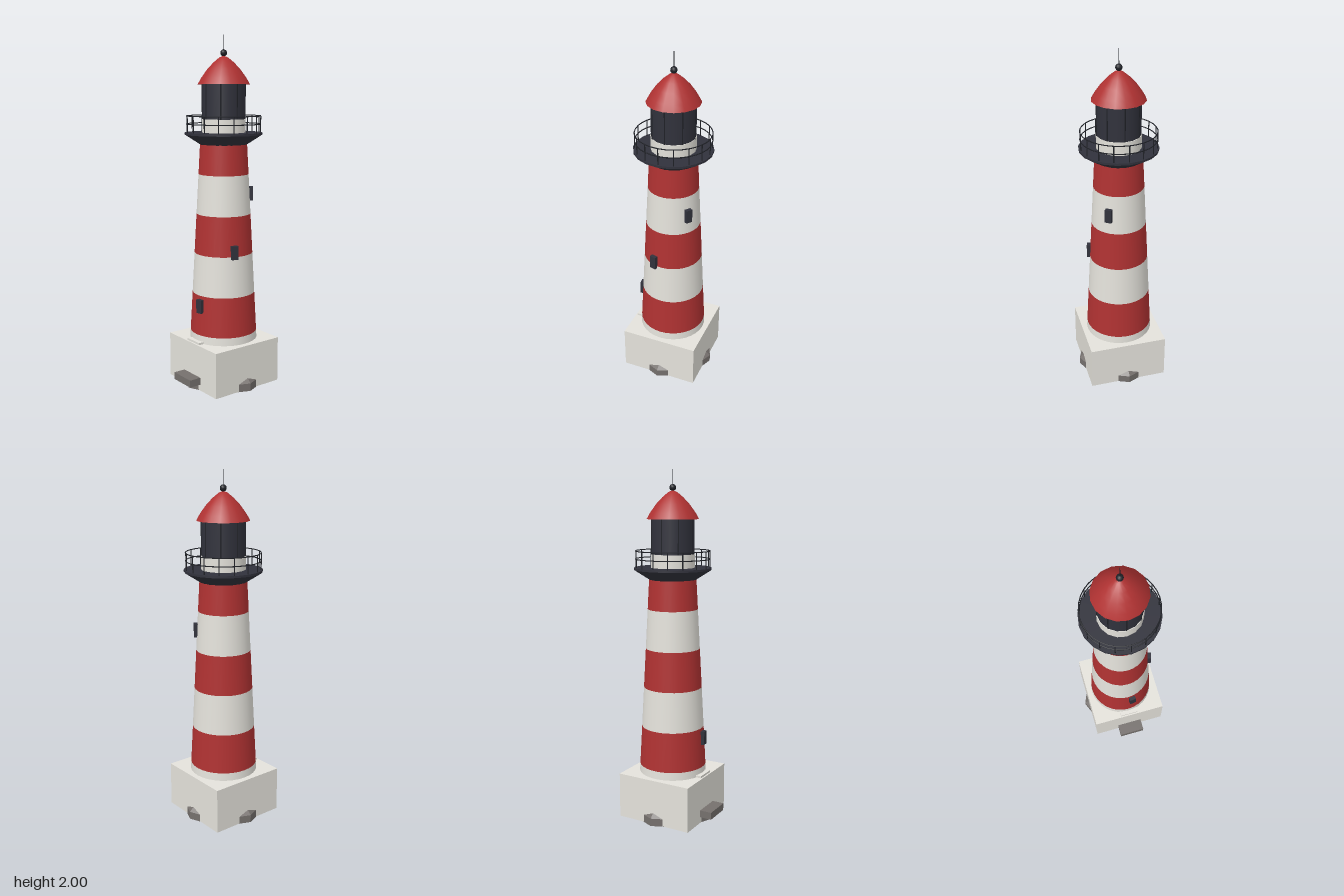
import * as THREE from 'three';

const material = (name, color, extra = {}) => {
  const m = new THREE.MeshStandardMaterial({ color, ...extra });
  m.name = name;
  return m;
};

export function createModel() {
  const white = material('white paint', 0xe4e2db);
  const red = material('red paint', 0xb03232);
  const dark = material('dark metal', 0x31323c);
  const black = material('black iron', 0x202228);
  const stone = material('grey rock', 0x75706d);

  const model = new THREE.Group();
  model.name = 'lighthouse';
  // everything is built round the tower axis, which sits slightly off centre
  const tower = new THREE.Group();
  tower.name = 'tower';
  tower.position.x = 0.021;
  model.add(tower);

  const add = (name, geometry, mat, x = 0, y = 0, z = 0, parent = tower) => {
    const mesh = new THREE.Mesh(geometry, mat);
    mesh.name = name;
    mesh.position.set(x, y, z);
    parent.add(mesh);
    return mesh;
  };
  const box = (name, w, h, d, mat, x, y, z) =>
    add(name, new THREE.BoxGeometry(w, h, d), mat, x, y, z);
  const drum = (name, rTop, rBottom, y0, y1, sides, mat, open = false) =>
    add(name, new THREE.CylinderGeometry(rTop, rBottom, y1 - y0, sides, 1, open), mat, 0, (y0 + y1) / 2);
  const flat = (mesh) => {
    mesh.geometry = mesh.geometry.toNonIndexed();
    mesh.geometry.computeVertexNormals();
    return mesh;
  };

  // rock footing, octagonal with a sloping shoulder
  flat(drum('footing', 0.254, 0.254, 0, 0.045, 8, stone));
  flat(drum('footingShoulder', 0.2, 0.254, 0.045, 0.093, 8, stone));

  // square base, doorstep and door frame
  box('base', 0.456, 0.263, 0.456, white, 0, 0.1335, 0);
  box('doorstep', 0.09, 0.042, 0.158, stone, -0.253, 0.058, 0);
  box('doorFrame', 0.05, 0.26, 0.113, white, -0.194, 0.147, 0);

  // tapering striped shaft
  const levels = [0.265, 0.31, 0.54, 0.773, 1.0, 1.227, 1.4];
  const radiusAt = (y) => THREE.MathUtils.mapLinear(y, 0.265, 1.4, 0.196, 0.134);
  for (let i = 0; i < levels.length - 1; i++) {
    drum('stripe' + (i + 1), radiusAt(levels[i + 1]), radiusAt(levels[i]),
      levels[i], levels[i + 1], 32, i % 2 ? red : white, true);
  }

  // windows winding up the shaft: height and angle from +x towards +z
  for (const [y, degrees] of [[0.482, 172], [0.8, 107], [1.113, 36]]) {
    const a = THREE.MathUtils.degToRad(degrees);
    const r = radiusAt(y) + 0.004;
    box('window', 0.03, 0.078, 0.038, dark, r * Math.cos(a), y, r * Math.sin(a)).rotation.y = -a;
  }

  // flared gallery
  drum('galleryFlare', 0.22, 0.134, 1.395, 1.45, 20, dark);
  drum('galleryDeck', 0.22, 0.22, 1.45, 1.462, 20, dark);

  // railing: posts and two hoops
  for (let i = 0; i < 16; i++) {
    const a = (i / 16) * Math.PI * 2;
    add('railPost', new THREE.CylinderGeometry(0.003, 0.003, 0.096, 5), black,
      0.21 * Math.sin(a), 1.508, 0.21 * Math.cos(a));
  }
  for (const y of [1.51, 1.555]) {
    add('railHoop', new THREE.TorusGeometry(0.21, 0.003, 5, 32), black, 0, y).rotation.x = Math.PI / 2;
  }

  // lantern room: white wall, dark glazing and glazing bars
  drum('lanternWall', 0.125, 0.125, 1.46, 1.537, 16, white);
  drum('lanternGlass', 0.122, 0.122, 1.537, 1.735, 16, dark);
  for (let i = 0; i < 8; i++) {
    const a = (i / 8) * Math.PI * 2;
    add('glazingBar', new THREE.CylinderGeometry(0.004, 0.004, 0.196, 5), black,
      0.121 * Math.sin(a), 1.635, 0.121 * Math.cos(a));
  }

  // domed roof with closed underside
  const roof = [[0.13, 1.73], [0.148, 1.73], [0.128, 1.765], [0.094, 1.812], [0.058, 1.85], [0.025, 1.877], [0, 1.887]];
  add('roof', new THREE.LatheGeometry(roof.slice(1).map(p => new THREE.Vector2(...p)), 16), red);
  add('roofUnderside', new THREE.CircleGeometry(0.148, 16), red, 0, 1.73).rotation.x = Math.PI / 2;

  // finial and lightning rod
  add('finial', new THREE.SphereGeometry(0.019, 10, 8), black, 0, 1.902);
  drum('lightningRod', 0.002, 0.0025, 1.91, 2.0, 5, black);

  return model;
}
